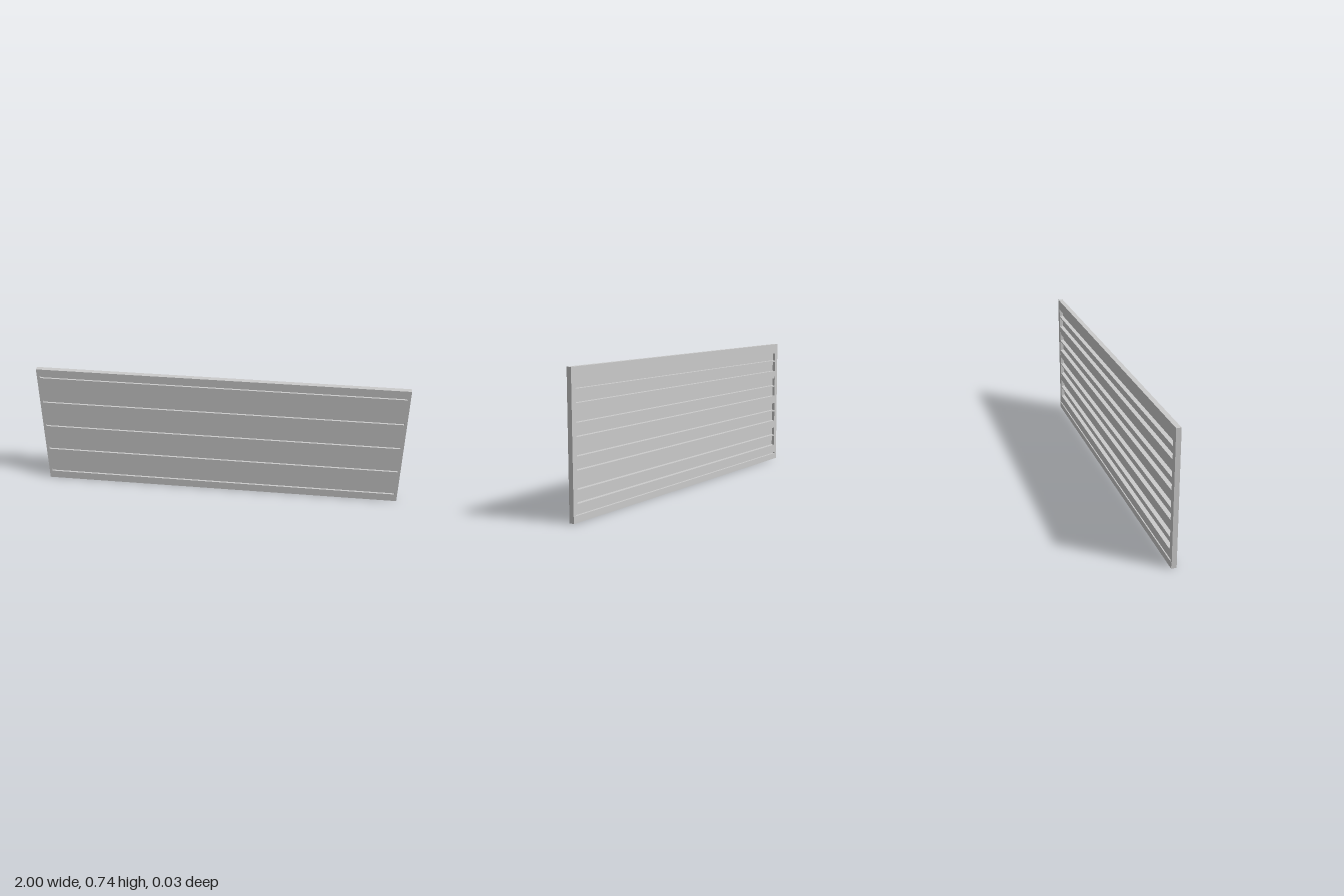
import * as THREE from 'three';

const FRONT = 0.014, BACK = -0.012, RAIL = -0.014;
const HEIGHT = 0.737, HALF = 1, POST = 0.016, PITCH = 0.159;
const slotCentre = (i) => 0.054 + i * PITCH;

export function createModel() {
  const group = new THREE.Group();
  const material = new THREE.MeshStandardMaterial({ color: 0xcccccc, flatShading: true });

  const add = (name, geometry) => {
    const mesh = new THREE.Mesh(geometry, material);
    mesh.name = name;
    group.add(mesh);
  };
  const box = (name, x0, x1, y0, y1, z0, z1) => {
    const g = new THREE.BoxGeometry(x1 - x0, y1 - y0, z1 - z0);
    g.translate((x0 + x1) / 2, (y0 + y1) / 2, (z0 + z1) / 2);
    add(name, g);
  };

  // Ribbed panel: one (z, y) cross-section run along x
  const profile = [[BACK, 0], [FRONT, 0]];
  // A notch is cut from a face to a given depth between two heights
  const notch = (face, floor, from, to) =>
    profile.push([face, from], [floor, from], [floor, to], [face, to]);

  // Five narrow slots up the front face
  for (let i = 0; i < 5; i++) notch(FRONT, FRONT - 0.01, slotCentre(i) - 0.007, slotCentre(i) + 0.007);
  profile.push([FRONT, HEIGHT], [BACK, HEIGHT]);

  // Pairs of deep channels down the back face, each pair split by a thin rib
  const floor = FRONT - 0.003;
  for (let i = 4; i > 0; i--) {
    const top = slotCentre(i) - 0.01;
    notch(BACK, floor, top, top - 0.046);
    notch(BACK, floor, top - 0.054, top - 0.113);
  }
  // Shallow gap above the bottom rail
  notch(BACK, 0.002, 0.042, 0.034);

  const length = 2 * (HALF - POST);
  const shape = new THREE.Shape(profile.map(([z, y]) => new THREE.Vector2(z, y)));
  const panel = new THREE.ExtrudeGeometry(shape, { depth: length, bevelEnabled: false });
  panel.rotateY(-Math.PI / 2);
  panel.translate(length / 2, 0, 0);
  add('ribbedPanel', panel);

  // End posts, with a wider flange on the back half
  for (const [side, s] of [['left', 1], ['right', -1]]) {
    const span = (inner) => (s > 0 ? [inner, HALF] : [-HALF, -inner]);
    box(side + 'EndPost', ...span(HALF - POST), 0, HEIGHT, BACK, FRONT);
    box(side + 'BackFlange', ...span(HALF - 0.03), 0.087, HEIGHT - 0.001, BACK - 0.0003, 0);
  }

  // Bottom rail standing slightly proud of the back
  box('bottomRail', -HALF, HALF, 0, 0.035, RAIL, BACK + 0.002);
  return group;
}
